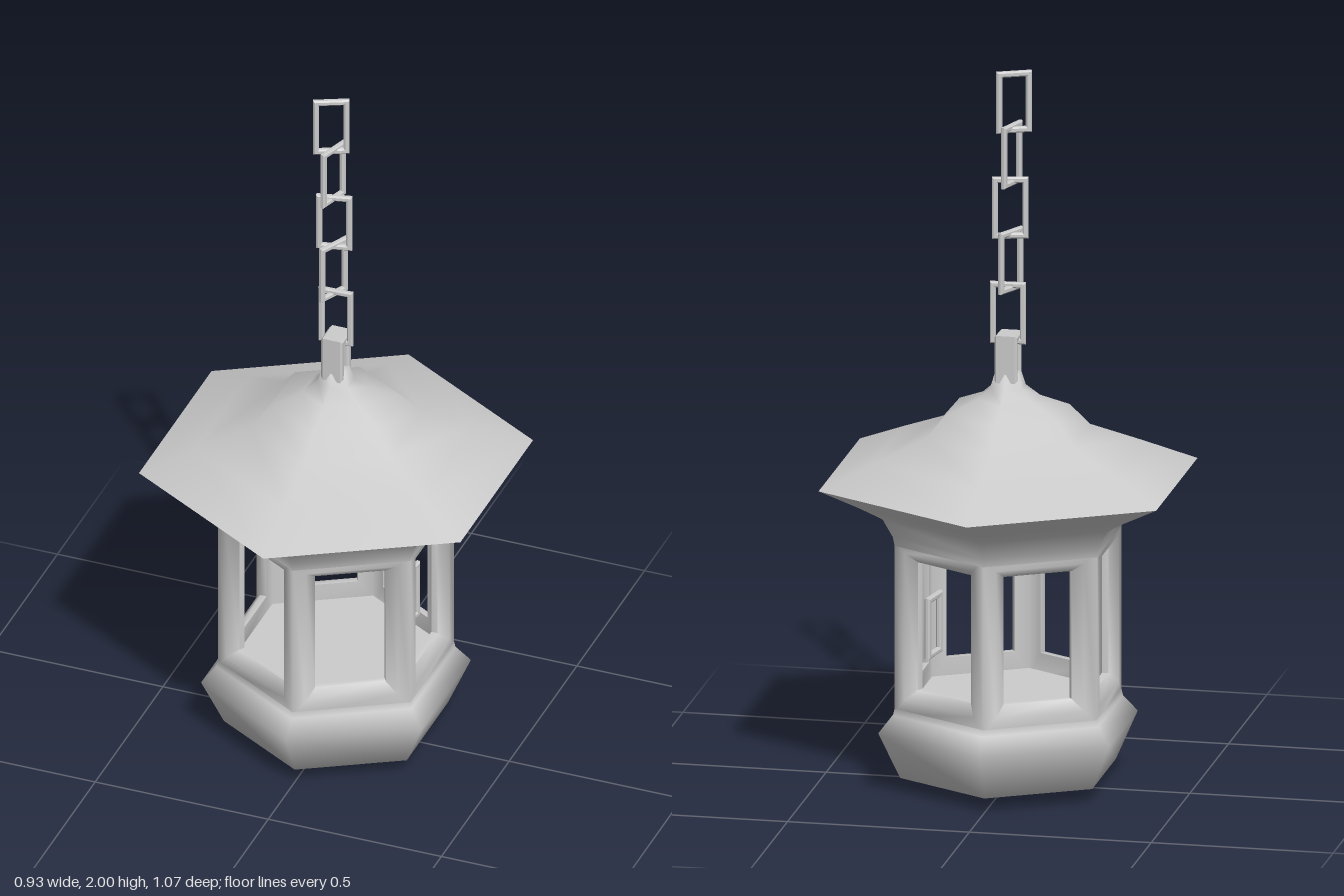
import * as THREE from 'three';
import { mergeVertices, toCreasedNormals } from 'three/addons/utils/BufferGeometryUtils.js';

const mat = new THREE.MeshStandardMaterial({ color: 0xcccccc, side: THREE.DoubleSide });

function part(name, geometry) {
  const mesh = new THREE.Mesh(geometry, mat);
  mesh.name = name;
  return mesh;
}

// Six-sided turned shape with corners on +z and -z; points are [corner radius, y]
function hexLathe(name, points) {
  return part(name, new THREE.LatheGeometry(points.map(p => new THREE.Vector2(...p)), 6));
}

function rectPath(path, w, y0, y1) {
  path.moveTo(-w, y0);
  path.lineTo(w, y0);
  path.lineTo(w, y1);
  path.lineTo(-w, y1);
  path.closePath();
  return path;
}

// Rectangular loop in the xy plane, centred on z = 0
function frame(w, y0, y1, bar, depth, bevel) {
  const shape = rectPath(new THREE.Shape(), w - bevel, y0 + bevel, y1 - bevel);
  shape.holes.push(rectPath(new THREE.Path(), w - bar + bevel, y0 + bar - bevel, y1 - bar + bevel));
  const geo = new THREE.ExtrudeGeometry(shape, {
    depth: depth - 2 * bevel, bevelEnabled: true, bevelSize: bevel, bevelThickness: bevel, bevelSegments: 1,
  });
  return geo.translate(0, 0, -depth / 2 + bevel);
}

// Six wall panels with bevelled window openings, as one smooth ring
function wallGeometry() {
  const a = 0.278, t = 0.04, half = Math.tan(Math.PI / 6);
  // Rectangles from the outer face, through the opening, to the inner face:
  // half width, bottom, top, distance from the axis
  const rings = [
    [a * half, 0.225, 0.715, a],
    [0.125, 0.27, 0.68, a],
    [0.096, 0.3, 0.657, a - 0.022],
    [0.096, 0.3, 0.657, a - t],
    [(a - t) * half, 0.225, 0.715, a - t],
  ];
  const pos = [], index = [];
  for (let side = 0; side < 6; side++) {
    const base = pos.length / 3;
    const ang = Math.PI / 6 + side * Math.PI / 3;
    const s = Math.sin(ang), c = Math.cos(ang);
    for (const [w, y0, y1, d] of rings) {
      for (const [u, y] of [[-w, y0], [w, y0], [w, y1], [-w, y1]]) {
        pos.push(u * c + d * s, y, -u * s + d * c);
      }
    }
    for (let r = 0; r < rings.length - 1; r++) {
      for (let k = 0; k < 4; k++) {
        const p = base + r * 4 + k, q = base + r * 4 + (k + 1) % 4;
        index.push(p, q, q + 4, p, q + 4, p + 4);
      }
    }
  }
  const geo = new THREE.BufferGeometry();
  geo.setAttribute('position', new THREE.Float32BufferAttribute(pos, 3));
  geo.setIndex(index);
  return toCreasedNormals(mergeVertices(geo, 1e-4), 1.15);
}

function link(name, x, y, z, degrees) {
  const mesh = part(name, frame(0.049, -0.086, 0.086, 0.016, 0.016, 0.004));
  mesh.position.set(x, y, z);
  mesh.rotation.y = THREE.MathUtils.degToRad(degrees);
  return mesh;
}

export function createModel() {
  const model = new THREE.Group();
  model.name = 'hangingLantern';

  // Body
  model.add(hexLathe('base', [
    [0, 0.005], [0.14, 0.008], [0.305, 0.045], [0.367, 0.175], [0.325, 0.222], [0.321, 0.24],
  ]));
  model.add(hexLathe('floor', [[0.3, 0.25], [0, 0.25]]));
  model.add(part('windowWalls', wallGeometry()));

  // Roof with flared eaves, and the ceiling under it
  model.add(hexLathe('eaves', [
    [0.321, 0.695], [0.326, 0.72], [0.355, 0.772], [0.42, 0.808], [0.536, 0.866],
  ]));
  model.add(hexLathe('roof', [
    [0.536, 0.866], [0.38, 0.93], [0.232, 0.988], [0.175, 1.048], [0.09, 1.082],
    [0.05, 1.115], [0.037, 1.155], [0, 1.157],
  ]));
  model.add(hexLathe('ceiling', [[0.3, 0.7], [0.22, 0.78], [0, 0.83]]));

  // Eye on top, open from side to side
  const eye = part('hangingEye', frame(0.036, 1.13, 1.262, 0.022, 0.062, 0.006));
  eye.rotation.y = Math.PI / 2;
  model.add(eye);

  // Chain, from top to bottom: x, y, z, turn in degrees
  const chain = new THREE.Group();
  chain.name = 'chain';
  [
    [-0.02, 1.914, -0.017, 25],
    [-0.013, 1.765, -0.013, 72],
    [-0.008, 1.615, -0.008, 13],
    [-0.008, 1.466, -0.003, 64],
    [0, 1.319, 0, 2],
  ].forEach((l, i) => chain.add(link('chainLink' + (i + 1), ...l)));
  model.add(chain);

  // Loose link inside the body
  model.add(link('looseLink', 0.197, 0.444, -0.035, 80));
  return model;
}
